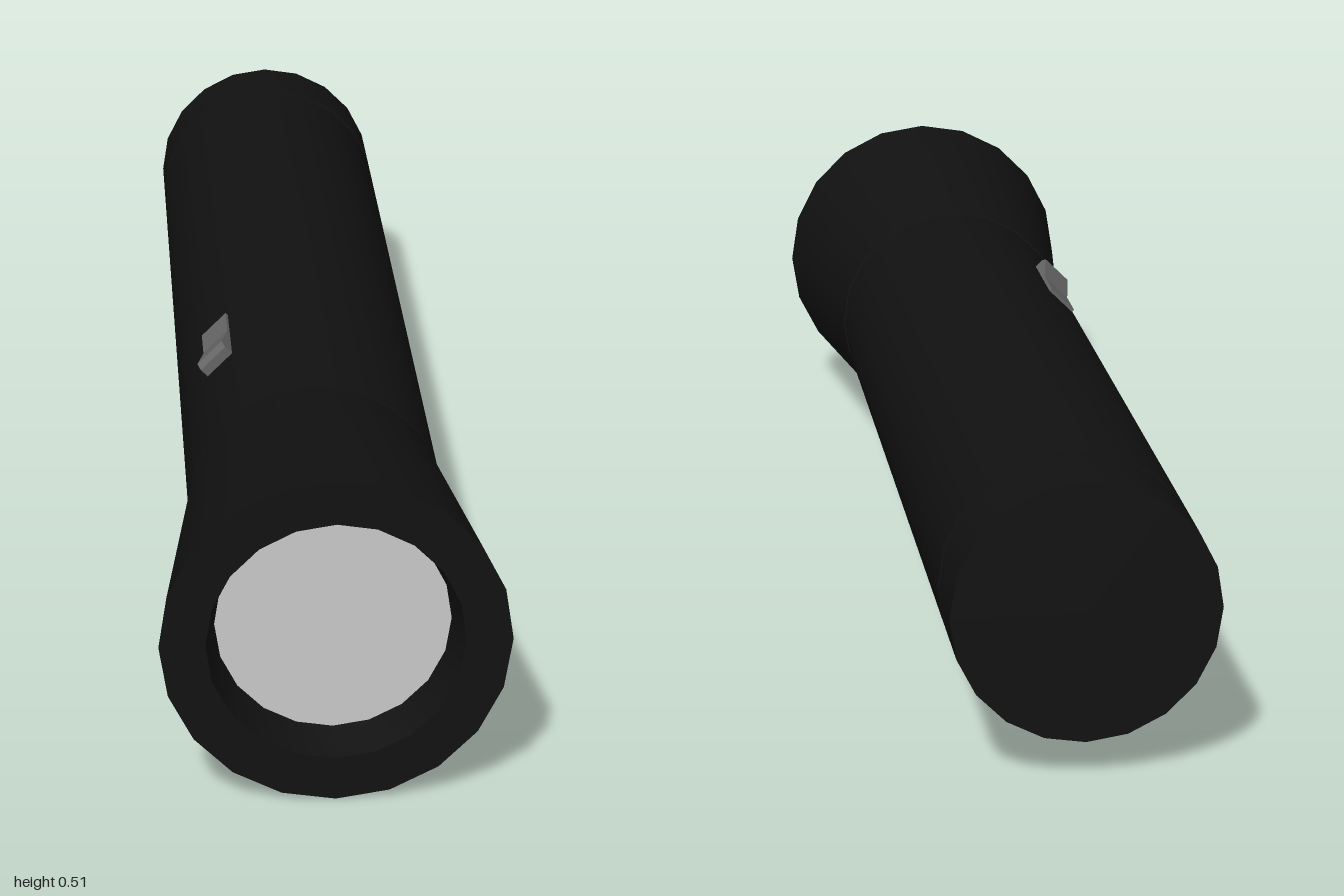
import * as THREE from 'three';
import { toCreasedNormals } from 'three/addons/utils/BufferGeometryUtils.js';

const SIDES = 20;
const AXIS_Y = 0.254;

const black = new THREE.MeshStandardMaterial({ color: 0x111111 });
const switchGrey = new THREE.MeshStandardMaterial({ color: 0x666666 });
const lensGrey = new THREE.MeshStandardMaterial({ color: 0xcccccc });

// Turned part: profile of [radius, z] pairs, running from back to front
function turned(name, profile) {
  const points = profile.map(([r, z]) => new THREE.Vector2(r, z));
  const lathe = new THREE.LatheGeometry(points, SIDES);
  lathe.rotateX(Math.PI / 2);
  const mesh = new THREE.Mesh(toCreasedNormals(lathe, Math.PI / 6), black);
  mesh.name = name;
  return mesh;
}

// Rocker switch: side profile of [z, radius], extruded across one barrel facet
function rockerSwitch() {
  const profile = [
    [0.14, 0.18], [0.3, 0.18], [0.3, 0.21], [0.287, 0.217],
    [0.215, 0.2], [0.14, 0.2],
  ];
  const shape = new THREE.Shape(profile.map(([z, r]) => new THREE.Vector2(z, r)));
  const width = 0.055;
  const geometry = new THREE.ExtrudeGeometry(shape, { depth: width, bevelEnabled: false });
  geometry.translate(0, 0, -width / 2);
  const along = new THREE.Vector3(0, 0, 1);
  const outward = new THREE.Vector3(-1, 1, 0).normalize();
  const across = new THREE.Vector3().crossVectors(along, outward);
  geometry.applyMatrix4(new THREE.Matrix4().makeBasis(along, outward, across));
  const mesh = new THREE.Mesh(geometry, switchGrey);
  mesh.name = 'rockerSwitch';
  return mesh;
}

export function createModel() {
  const torch = new THREE.Group();
  torch.name = 'torch';

  // Tail cap, with a shallow groove in front of it
  torch.add(turned('tailCap', [[0, -1], [0.197, -1], [0.197, -0.872], [0.188, -0.872]]));
  torch.add(turned('tailGroove', [[0.188, -0.872], [0.188, -0.86]]));

  // Barrel, with a deeper groove before the head
  torch.add(turned('barrel', [[0.188, -0.86], [0.197, -0.86], [0.197, 0.532], [0.18, 0.532]]));
  torch.add(turned('headGroove', [[0.18, 0.532], [0.18, 0.543]]));

  // Flared head with a flat rim and a tapering recess
  torch.add(turned('head', [
    [0.18, 0.543], [0.198, 0.543], [0.254, 1], [0.187, 1], [0.172, 0.93],
  ]));

  // Lens at the bottom of the recess
  const lens = new THREE.Mesh(new THREE.CircleGeometry(0.172, SIDES), lensGrey);
  lens.name = 'lens';
  lens.position.z = 0.93;
  torch.add(lens);

  torch.add(rockerSwitch());

  torch.position.y = AXIS_Y;
  const model = new THREE.Group();
  model.name = 'flashlight';
  model.add(torch);
  return model;
}
